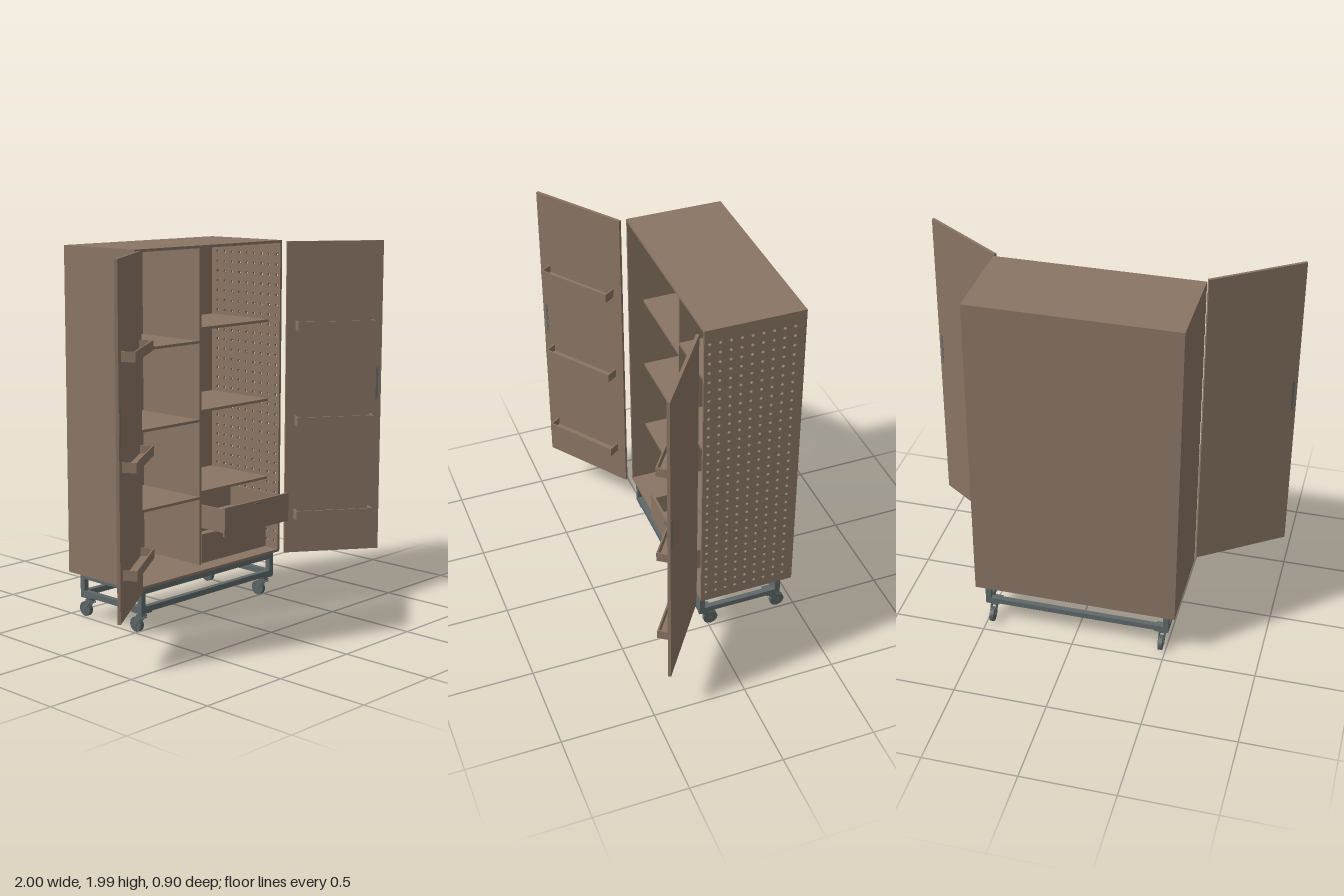
import * as THREE from 'three';

export function createModel() {
  const model = new THREE.Group();
  const material = (name, color) => {
    const m = new THREE.MeshStandardMaterial({ color });
    m.name = name;
    return m;
  };
  const wood = material('brown panel', 0x8a7564);
  const steel = material('grey steel', 0x5f6869);
  const rubber = material('wheel grey', 0x5a6263);

  const add = (parent, name, geometry, mat) => {
    const mesh = new THREE.Mesh(geometry, mat);
    mesh.name = name;
    parent.add(mesh);
    return mesh;
  };
  // Box given by its minimum and maximum corners
  const box = (parent, name, mat, x0, x1, y0, y1, z0, z1) => {
    const mesh = add(parent, name, new THREE.BoxGeometry(x1 - x0, y1 - y0, z1 - z0), mat);
    mesh.position.set((x0 + x1) / 2, (y0 + y1) / 2, (z0 + z1) / 2);
    return mesh;
  };
  const group = (parent, name) => {
    const g = new THREE.Group();
    g.name = name;
    parent.add(g);
    return g;
  };

  // Cabinet shell
  const T = 0.014, X = 0.55, Y0 = 0.25, Y1 = 1.985, ZB = -0.455, ZF = 0.07, ZS = -0.012;
  const cabinet = group(model, 'cabinet');
  box(cabinet, 'plainSide', wood, -X, -X + T, Y0, Y1, ZB, ZF);
  box(cabinet, 'topPanel', wood, -X + T, X - T, Y1 - T, Y1, ZB, ZF);
  box(cabinet, 'bottomPanel', wood, -X + T, X - T, Y0, Y0 + T, ZB, ZF);
  box(cabinet, 'backPanel', wood, -X + T, X - T, Y0 + T, Y1 - T, ZB, ZB + T);
  box(cabinet, 'divider', wood, -T / 2, T / 2, Y0 + T, Y1 - T, ZB + T, ZS);

  // Perforated side: drawn in (-z, y), then turned so its thickness runs along x
  const side = new THREE.Shape([[-ZF, Y0], [-ZB, Y0], [-ZB, Y1], [-ZF, Y1]]
    .map(([u, v]) => new THREE.Vector2(u, v)));
  for (let row = 0; row < 30; row++) {
    for (let col = 0; col < 9; col++) {
      const hole = new THREE.Path();
      hole.absarc(-0.043 + col * 0.055, 0.31 + row * 0.055, 0.0085, 0, Math.PI * 2, true);
      side.holes.push(hole);
    }
  }
  const pegboard = new THREE.ExtrudeGeometry(side, { depth: T, bevelEnabled: false, curveSegments: 10 });
  pegboard.rotateY(Math.PI / 2);
  add(cabinet, 'perforatedSide', pegboard, wood).position.x = X - T;

  // Shelves, set back to clear the door trays
  for (const y of [0.64, 1.06, 1.48]) {
    box(cabinet, 'leftShelf', wood, -X + T, -T / 2, y - T, y, ZB + T, ZS);
  }
  for (const y of [0.67, 1.11, 1.55]) {
    box(cabinet, 'rightShelf', wood, T / 2, X - T, y - T, y, ZB + T, ZS);
  }

  // Drawers: open box, front and small pull
  const drawer = (name, y0, y1, zFront) => {
    const g = group(model, name);
    const b = 0.012, x0 = 0.028, x1 = 0.512, z1 = zFront - T, z0 = z1 - 0.41;
    const low = y0 + 0.015, high = y1 - 0.015;
    box(g, 'drawerFront', wood, 0.012, 0.525, y0, y1, z1, zFront);
    box(g, 'drawerBase', wood, x0, x1, low, low + b, z0, z1);
    box(g, 'drawerBack', wood, x0, x1, low + b, high, z0, z0 + b);
    box(g, 'drawerSide', wood, x0, x0 + b, low + b, high, z0 + b, z1);
    box(g, 'drawerSide', wood, x1 - b, x1, low + b, high, z0 + b, z1);
    box(g, 'drawerPull', steel, 0.242, 0.29, y1 - 0.018, y1 - 0.011, zFront, zFront + 0.008);
  };
  drawer('lowerDrawer', 0.27, 0.43, ZS);
  drawer('upperDrawer', 0.445, 0.602, 0.155);

  // Open doors, each with three trays on its inner face
  for (const s of [1, -1]) {
    const door = group(model, s > 0 ? 'leftDoor' : 'rightDoor');
    door.position.set(s * 0.555, 0, 0.097);
    door.rotation.y = -s * THREE.MathUtils.degToRad(35);
    const part = (name, mat, u0, u1, y0, y1, z0, z1) =>
      box(door, name, mat, Math.min(s * u0, s * u1), Math.max(s * u0, s * u1), y0, y1, z0, z1);
    const D = 0.016, w = 0.008;
    part('doorPanel', wood, 0, 0.543, Y0, 1.98, 0, D);
    part('doorPull', steel, 0.513, 0.526, 1.105, 1.28, -0.001, D + 0.001);
    for (const y of [0.45, 0.975, 1.5]) {
      part('trayBase', wood, 0.05, 0.485, y, y + w, D, 0.086);
      part('trayFront', wood, 0.05, 0.485, y + w, y + 0.05, 0.086 - w, 0.086);
      part('trayEnd', wood, 0.05, 0.05 + w, y + w, y + 0.05, D, 0.086 - w);
      part('trayEnd', wood, 0.485 - w, 0.485, y + w, y + 0.05, D, 0.086 - w);
    }
  }

  // Steel base: two rings joined by corner posts
  const base = group(model, 'baseFrame');
  const FX = 0.51, FB = -0.41, FF = 0.06, P = 0.03;
  for (const [y0, y1] of [[0.12, 0.15], [0.218, 0.25]]) {
    for (const z of [FB, FF - P]) box(base, 'longRail', steel, -FX + P, FX - P, y0, y1, z, z + P);
    for (const x of [-FX, FX - P]) box(base, 'shortRail', steel, x, x + P, y0, y1, FB + P, FF - P);
  }
  for (const x of [-FX, FX - P]) {
    for (const z of [FB, FF - P]) box(base, 'cornerPost', steel, x, x + P, 0.12, 0.25, z, z + P);
  }

  // Trailing swivel casters
  const cheek = new THREE.Shape([[-0.022, 0.1], [0.022, 0.1], [0.048, 0.044], [0.042, 0.032], [0.03, 0.034]]
    .map(([u, v]) => new THREE.Vector2(u, v)));
  const cheekGeometry = new THREE.ExtrudeGeometry(cheek, { depth: 0.004, bevelEnabled: false });
  cheekGeometry.rotateY(Math.PI / 2);
  const wheelGeometry = new THREE.CylinderGeometry(0.04, 0.04, 0.022, 28).rotateZ(Math.PI / 2);
  const hubGeometry = new THREE.CylinderGeometry(0.009, 0.009, 0.036, 16).rotateZ(Math.PI / 2);
  const swivelGeometry = new THREE.CylinderGeometry(0.024, 0.02, 0.012, 20);
  for (const x of [-0.472, 0.472]) {
    for (const z of [FB + 0.038, FF - 0.038]) {
      const caster = group(model, 'caster');
      caster.position.set(x, 0, z);
      box(caster, 'casterPlate', steel, -0.037, 0.037, 0.112, 0.12, -0.037, 0.037);
      add(caster, 'swivel', swivelGeometry, steel).position.y = 0.106;
      box(caster, 'forkTop', steel, -0.017, 0.017, 0.093, 0.1, -0.022, 0.022);
      for (const cx of [-0.017, 0.013]) add(caster, 'forkCheek', cheekGeometry, steel).position.x = cx;
      add(caster, 'wheel', wheelGeometry, rubber).position.set(0, 0.04, -0.037);
      add(caster, 'axle', hubGeometry, steel).position.set(0, 0.04, -0.037);
      const brake = box(caster, 'brakeLever', steel, -0.01, 0.01, 0.088, 0.093, 0.004, 0.03);
      brake.rotation.x = 0.2;
    }
  }
  return model;
}
